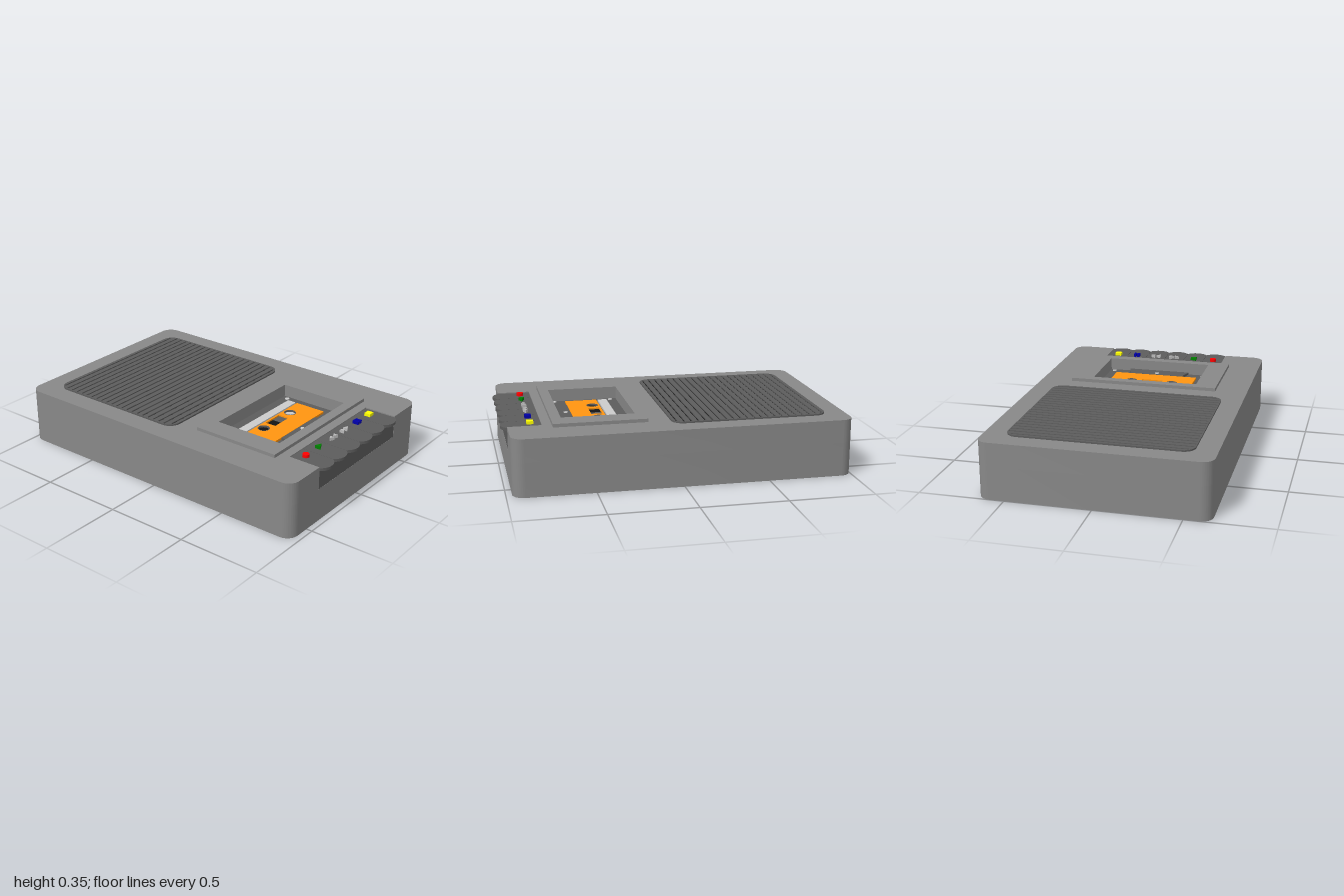
import * as THREE from 'three';
import { toCreasedNormals } from 'three/addons/utils/BufferGeometryUtils.js';

const GREY = 0x888888, DARK = 0x5c5c5c, BLACK = 0x141414, ORANGE = 0xff9510;
const material = (color) => new THREE.MeshStandardMaterial({ color });

// Plan shapes are drawn in (x, z) and extruded between two heights.
function slab(parent, name, shape, y0, y1, color) {
  const geo = new THREE.ExtrudeGeometry(shape, { depth: y1 - y0, bevelEnabled: false, curveSegments: 10 });
  geo.rotateX(Math.PI / 2).translate(0, y1, 0);
  const mesh = new THREE.Mesh(toCreasedNormals(geo, 0.5), material(color));
  mesh.name = name;
  parent.add(mesh);
  return mesh;
}

const poly = (...pts) => new THREE.Shape(pts.map(([x, z]) => new THREE.Vector2(x, z)));
const rect = (x0, x1, z0, z1) => poly([x0, z0], [x1, z0], [x1, z1], [x0, z1]);
const circle = (x, z, r) => new THREE.Shape().absarc(x, z, r, 0, Math.PI * 2);

// Rounded rectangle, with an optional notch in the front edge
function rounded(w, z0, z1, r, notchW = 0, notchZ = 0) {
  const s = new THREE.Shape();
  s.moveTo(-w + r, z0);
  s.lineTo(w - r, z0);
  s.absarc(w - r, z0 + r, r, -Math.PI / 2, 0);
  s.lineTo(w, z1 - r);
  s.absarc(w - r, z1 - r, r, 0, Math.PI / 2);
  if (notchW) {
    s.lineTo(notchW, z1);
    s.lineTo(notchW, notchZ);
    s.lineTo(-notchW, notchZ);
    s.lineTo(-notchW, z1);
  }
  s.lineTo(-w + r, z1);
  s.absarc(-w + r, z1 - r, r, Math.PI / 2, Math.PI);
  s.lineTo(-w, z0 + r);
  s.absarc(-w + r, z0 + r, r, Math.PI, Math.PI * 1.5);
  return s;
}

function group(parent, name) {
  const g = new THREE.Group();
  g.name = name;
  parent.add(g);
  return g;
}

export function createModel() {
  const model = new THREE.Group();
  model.name = 'cassetteRecorder';

  // Case: solid base, upper part with a key notch and a cassette well
  const body = group(model, 'case');
  const well = () => rect(-0.33, 0.33, 0.225, 0.655);
  slab(body, 'caseBase', rounded(0.655, -1, 0.965, 0.07), 0, 0.2, GREY);
  const upper = rounded(0.655, -1, 0.965, 0.07, 0.395, 0.77);
  upper.holes.push(well());
  slab(body, 'caseTop', upper, 0.2, 0.335, GREY);

  // Raised lid framing the cassette
  const lid = rect(-0.46, 0.46, 0.17, 0.715);
  lid.holes.push(well());
  slab(model, 'cassetteLid', lid, 0.335, 0.355, GREY);

  // Speaker grille: slotted plate over a dark backing
  const speaker = group(model, 'speaker');
  const sw = 0.53, sz0 = -0.88, sz1 = 0.04, sr = 0.07, slots = 22;
  slab(speaker, 'speakerBacking', rounded(sw - 0.002, sz0 + 0.002, sz1 - 0.002, sr), 0.33, 0.337, BLACK);
  const grille = rounded(sw, sz0, sz1, sr);
  for (let i = 0; i < slots; i++) {
    const z = sz0 + (i + 0.6) * (sz1 - sz0) / (slots + 0.2);
    const d = Math.max(0, sr - Math.min(z - sz0, sz1 - z) + 0.006);
    const w = sw - 0.008 - (sr - Math.sqrt(Math.max(0, sr * sr - d * d)));
    grille.holes.push(rect(-w, w, z - 0.005, z + 0.005));
  }
  slab(speaker, 'speakerGrille', grille, 0.335, 0.344, DARK);

  // Cassette lying in the well
  const tape = group(model, 'cassette');
  const top = 0.28, face = 0.293;
  slab(tape, 'cassetteShell', rect(-0.329, 0.329, 0.226, 0.654), 0.2, top, DARK);
  slab(tape, 'titleStrip', rect(-0.268, 0.268, 0.295, 0.35), top, face, 0xcccccc);
  const label = rect(-0.268, 0.268, 0.36, 0.555);
  label.holes.push(circle(-0.135, 0.405, 0.034), circle(0.13, 0.405, 0.034), rect(-0.07, 0.065, 0.372, 0.44));
  slab(tape, 'label', label, top, face, ORANGE);
  [[-0.135, BLACK], [0.13, 0xcccccc]].forEach(([x, color]) => {
    slab(tape, 'reelHub', circle(x, 0.405, 0.033), top, top + 0.003, color);
    const rim = circle(x, 0.405, 0.036);
    rim.holes.push(circle(x, 0.405, 0.032));
    slab(tape, 'reelRim', rim, top, face + 0.001, DARK);
  });
  slab(tape, 'tapeWindowLeft', rect(-0.07, 0, 0.372, 0.44), top, top + 0.004, BLACK);
  slab(tape, 'tapeWindowRight', rect(0, 0.065, 0.372, 0.44), top, top + 0.004, DARK);
  slab(tape, 'headRidge', poly([-0.17, 0.557], [0.17, 0.557], [0.2, 0.654], [-0.2, 0.654]), top, face, DARK);
  [[-0.3, 0.265], [0.3, 0.265], [-0.3, 0.62], [0.3, 0.62], [0, 0.585]].forEach(([x, z]) =>
    slab(tape, 'screw', circle(x, z, 0.013), top, x ? top + 0.005 : face + 0.004, 0xcccccc));

  // Key bank: front panel under six keys with curved lips
  const keys = group(model, 'keys');
  slab(keys, 'keyPanel', rect(-0.394, 0.394, 0.771, 0.964), 0.2, 0.312, DARK);
  const pitch = 0.79 / 6;
  for (let i = 0; i < 6; i++) {
    const x0 = -0.395 + i * pitch + 0.0008, x1 = x0 + pitch - 0.0016, mid = (x0 + x1) / 2;
    const half = (x1 - x0) / 2, rise = 0.034, r = (half * half + rise * rise) / (2 * rise);
    const a = Math.asin(half / r);
    const key = poly([x0, 0.77], [x1, 0.77], [x1, 0.966]);
    key.absarc(mid, 1 - r, r, Math.PI / 2 - a, Math.PI / 2 + a);
    slab(keys, 'key', key, 0.312, 0.329, DARK);
  }

  // Raised symbols on the keys
  const symbols = group(model, 'keySymbols');
  const z = 0.832, h = 0.018, PALE = 0xb8b8b8;
  const symbol = (name, shape, color) => slab(symbols, name, shape, 0.329, 0.347, color);
  const arrow = (x, w, hz) => poly([x - w, z - hz], [x + w, z], [x - w, z + hz]);
  symbol('recordSymbol', circle(-0.33, z, 0.02), 0xff0000);
  symbol('playSymbol', arrow(-0.197, 0.019, h), 0x008000);
  [-1, 1].forEach((side) => [0.046, 0.082].forEach((x) =>
    symbol(side < 0 ? 'rewindSymbol' : 'forwardSymbol', arrow(side * x, side * 0.015, 0.014), PALE)));
  [0.184, 0.207].forEach((x) => symbol('pauseSymbol', rect(x - 0.008, x + 0.008, z - 0.019, z + 0.019), 0x0000aa));
  symbol('stopSymbol', rect(0.305, 0.345, z - 0.019, z + 0.019), 0xffff00);

  return model;
}
